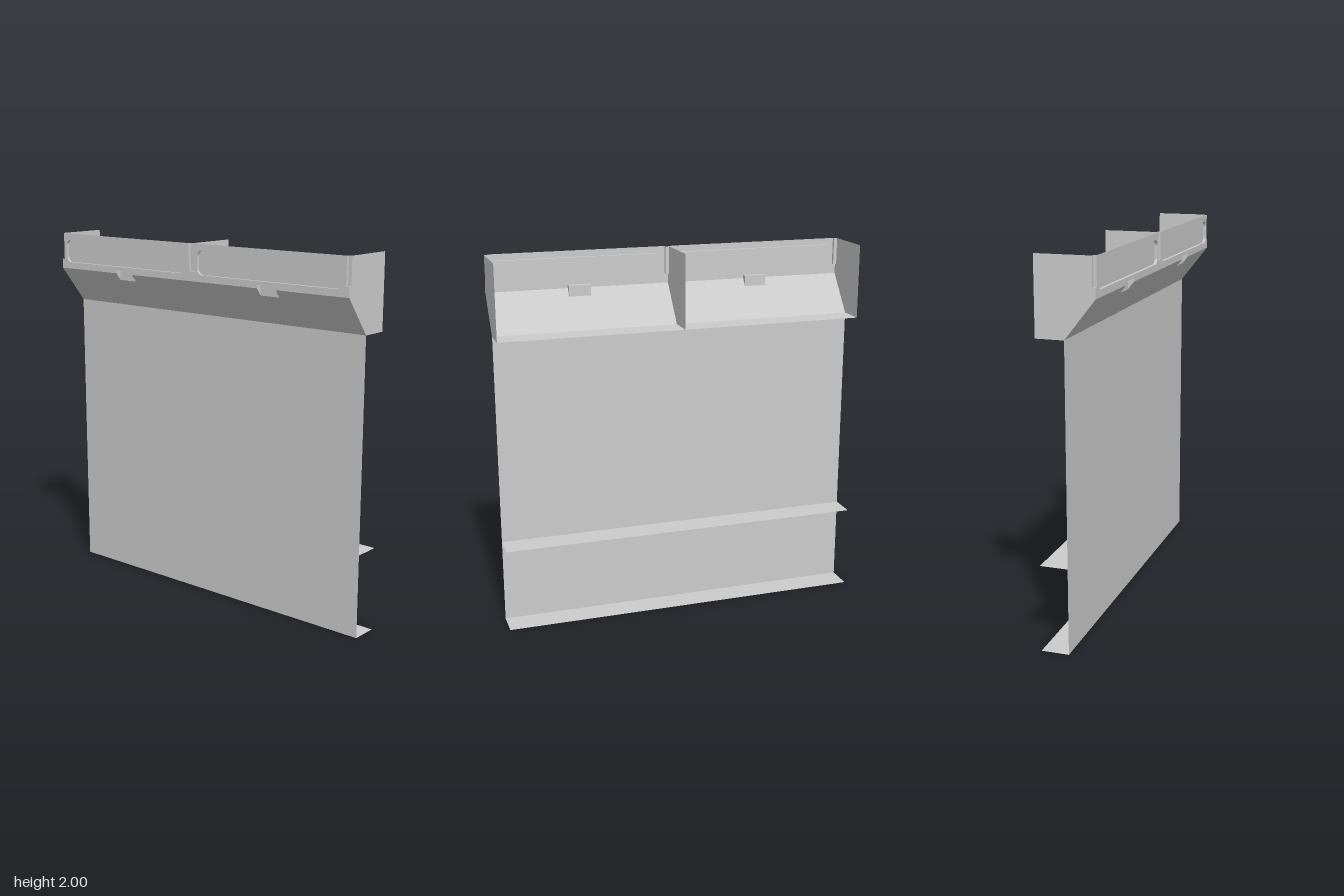
import * as THREE from 'three';

const MAT = new THREE.MeshStandardMaterial({ color: 0xcccccc, side: THREE.DoubleSide, flatShading: true });
const FRONT = 0.152, BACK = -0.152, FOLD = -0.005;  // depths of the sheet bends
const FLOOR = 1.6, BEND = 1.8, TOP = 2;             // heights of the trough
const IN = FRONT - 0.016;                           // depth plane of the pressed recesses
const NOTCH = 0.019, NOTCH_Y = 1.853;
const CLIP_X = 0.5, CLIP_W = 0.06, CLIP_Y0 = 1.76, CLIP_Y1 = 1.818;
const slopeZ = y => FOLD + (FRONT - FOLD) * (y - FLOOR) / (BEND - FLOOR);
const CLIP_Z = slopeZ(CLIP_Y0);

const shapeOf = pts => new THREE.Shape(pts.map(p => new THREE.Vector2(p[0], p[1])));

function add(parent, name, geometry) {
  const mesh = new THREE.Mesh(geometry, MAT);
  mesh.name = name;
  parent.add(mesh);
  return mesh;
}

// Upright sheet facing +z
function upright(parent, name, x0, x1, y0, y1, z) {
  add(parent, name, new THREE.PlaneGeometry(x1 - x0, y1 - y0)).position.set((x0 + x1) / 2, (y0 + y1) / 2, z);
}

// Level sheet facing up
function level(parent, name, x0, x1, z0, z1, y) {
  const geo = new THREE.PlaneGeometry(x1 - x0, z1 - z0).rotateX(-Math.PI / 2);
  add(parent, name, geo).position.set((x0 + x1) / 2, y, (z0 + z1) / 2);
}

// Sheet across the model at x, outlined by [z, y] points
function crosswise(parent, name, x, pts) {
  const geo = new THREE.ShapeGeometry(shapeOf(pts.map(([z, y]) => [-z, y]))).rotateY(Math.PI / 2);
  add(parent, name, geo).position.x = x;
}

// Closed wall following an outline between two depths
function rim(parent, name, outline, z0, z1) {
  const pos = [];
  outline.forEach((a, i) => {
    const b = outline[(i + 1) % outline.length];
    pos.push(a.x, a.y, z0, b.x, b.y, z0, b.x, b.y, z1, a.x, a.y, z0, b.x, b.y, z1, a.x, a.y, z1);
  });
  const geo = new THREE.BufferGeometry();
  geo.setAttribute('position', new THREE.Float32BufferAttribute(pos, 3));
  geo.computeVertexNormals();
  add(parent, name, geo);
}

function roundedRect(x0, x1, y0, y1, r) {
  const s = new THREE.Shape();
  s.absarc(x1 - r, y1 - r, r, 0, Math.PI / 2);
  s.absarc(x0 + r, y1 - r, r, Math.PI / 2, Math.PI);
  s.absarc(x0 + r, y0 + r, r, Math.PI, Math.PI * 1.5);
  s.absarc(x1 - r, y0 + r, r, Math.PI * 1.5, Math.PI * 2);
  return s;
}

export function createModel() {
  const model = new THREE.Group();
  model.name = 'panelWithTrough';

  // Main panel and its rear flanges
  upright(model, 'mainPanel', -1, 1, 0, FLOOR, FOLD);
  level(model, 'lowerFlange', -1, 1, BACK, FOLD, 0);
  level(model, 'middleFlange', -1, 1, BACK, FOLD, 0.458);
  level(model, 'troughFloor', -1, 1, BACK, FOLD, FLOOR);

  // Sloping sheet, cut out around the pockets along its upper edge
  const slopePts = [[-1, FLOOR], [1, FLOOR], [1, BEND]];
  for (const c of [CLIP_X, -CLIP_X])
    slopePts.push([c + CLIP_W, BEND], [c + CLIP_W, CLIP_Y0], [c - CLIP_W, CLIP_Y0], [c - CLIP_W, BEND]);
  slopePts.push([-1, BEND]);
  const slope = new THREE.ShapeGeometry(shapeOf(slopePts));
  const p = slope.attributes.position;
  for (let i = 0; i < p.count; i++) p.setZ(i, slopeZ(p.getY(i)));
  slope.computeVertexNormals();
  add(model, 'slopingSheet', slope);

  // Front sheet with pocket cut-outs below, notches above and two windows
  const frontPts = [[-1, BEND]];
  for (const c of [-CLIP_X, CLIP_X])
    frontPts.push([c - CLIP_W, BEND], [c - CLIP_W, CLIP_Y1], [c + CLIP_W, CLIP_Y1], [c + CLIP_W, BEND]);
  frontPts.push([1, BEND], [1, NOTCH_Y], [1 - NOTCH, NOTCH_Y], [1 - NOTCH, TOP],
    [NOTCH, TOP], [NOTCH, NOTCH_Y], [-NOTCH, NOTCH_Y], [-NOTCH, TOP],
    [NOTCH - 1, TOP], [NOTCH - 1, NOTCH_Y], [-1, NOTCH_Y]);
  const front = shapeOf(frontPts);
  const windows = [-0.5, 0.5].map(c => roundedRect(c - 0.461, c + 0.461, 1.837, 1.965, 0.032));
  front.holes.push(...windows);
  add(model, 'frontSheet', new THREE.ShapeGeometry(front, 8)).position.z = FRONT;

  // Pressed-in window panels
  for (const w of windows) {
    const group = new THREE.Group();
    group.name = 'recessedPanel';
    add(group, 'recessFace', new THREE.ShapeGeometry(w, 8)).position.z = IN;
    rim(group, 'recessRim', w.getPoints(8), FRONT, IN);
    model.add(group);
  }

  // Vertical notches at both ends and in the middle
  for (const [x0, x1] of [[-1, NOTCH - 1], [-NOTCH, NOTCH], [1 - NOTCH, 1]]) {
    const group = new THREE.Group();
    group.name = 'notch';
    upright(group, 'notchFace', x0, x1, NOTCH_Y, TOP, IN);
    level(group, 'notchFloor', x0, x1, IN, FRONT, NOTCH_Y);
    for (const x of [x0, x1])
      if (Math.abs(x) < 1)
        crosswise(group, 'notchSide', x, [[IN, NOTCH_Y], [FRONT, NOTCH_Y], [FRONT, TOP], [IN, TOP]]);
    model.add(group);
  }

  // Wedge pockets at the bend
  for (const c of [-CLIP_X, CLIP_X]) {
    const group = new THREE.Group();
    group.name = 'pocket';
    upright(group, 'pocketBack', c - CLIP_W, c + CLIP_W, CLIP_Y0, CLIP_Y1, CLIP_Z);
    level(group, 'pocketCeiling', c - CLIP_W, c + CLIP_W, CLIP_Z, FRONT, CLIP_Y1);
    for (const s of [-1, 1])
      crosswise(group, 'pocketSide', c + s * CLIP_W,
        [[CLIP_Z, CLIP_Y0], [FRONT, BEND], [FRONT, CLIP_Y1], [CLIP_Z, CLIP_Y1]]);
    model.add(group);
  }

  // End walls and central divider
  for (const [name, x] of [['leftWall', 1], ['divider', 0], ['rightWall', -1]])
    crosswise(model, name, x, [[BACK, FLOOR], [FOLD, FLOOR], [FRONT, BEND], [FRONT, NOTCH_Y],
      [IN, NOTCH_Y], [IN, TOP], [BACK, TOP]]);

  return model;
}
